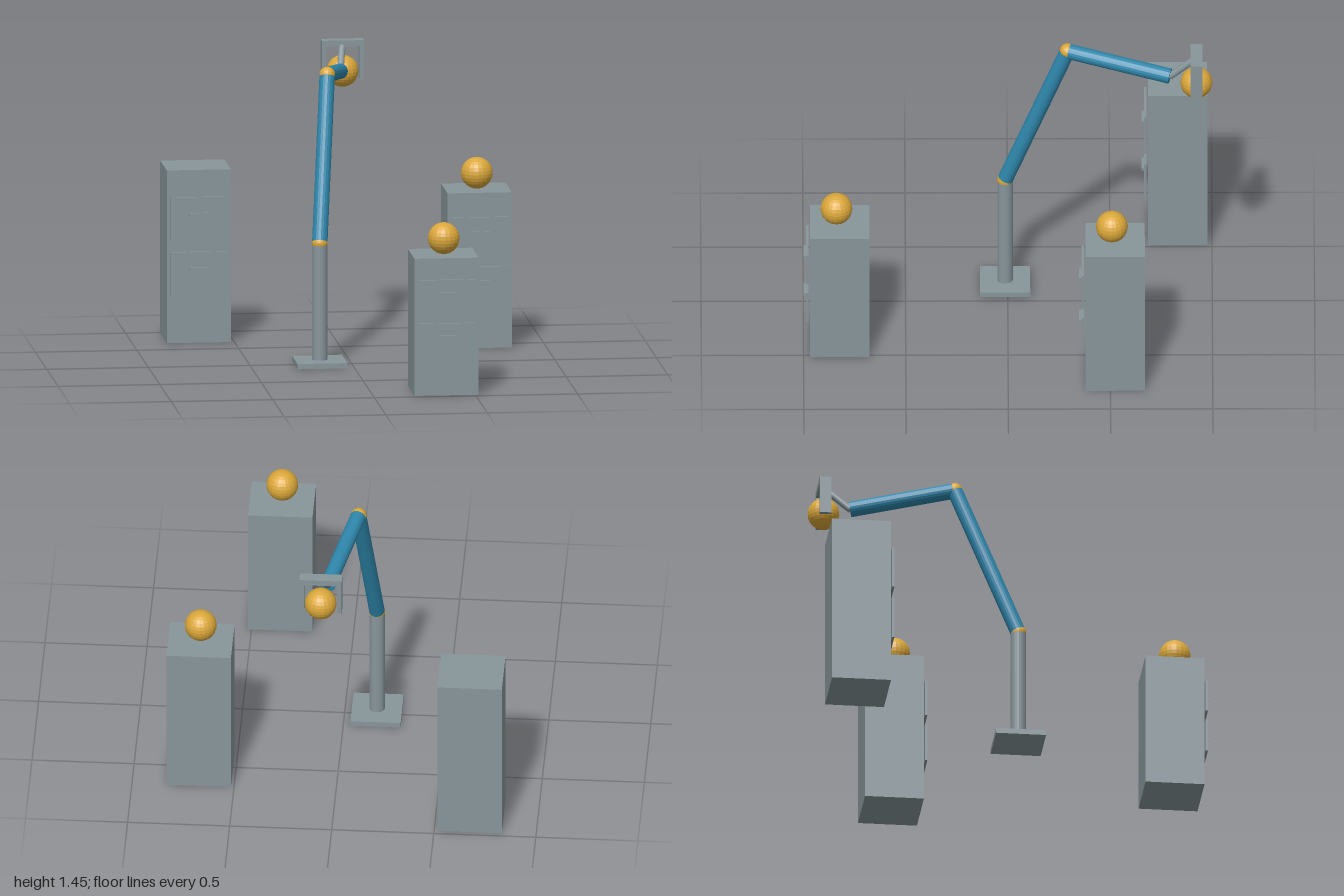
import * as THREE from 'three';

const flat = (name, color) => {
  const m = new THREE.MeshStandardMaterial({ color, flatShading: true });
  m.name = name;
  return m;
};

export function createModel() {
  const grey = flat('steel grey', 0x87959a);
  const blue = flat('arm blue', 0x2e86ab);
  const gold = flat('ball gold', 0xdaa73a);

  const root = new THREE.Group();
  root.name = 'robotArmAndCabinets';

  const add = (parent, name, geometry, material, x, y, z) => {
    const mesh = new THREE.Mesh(geometry, material);
    mesh.name = name;
    mesh.position.set(x, y, z);
    parent.add(mesh);
    return mesh;
  };
  const box = (parent, name, w, h, d, x, y, z) =>
    add(parent, name, new THREE.BoxGeometry(w, h, d), grey, x, y, z);
  const ball = (parent, name, r, p) =>
    add(parent, name, new THREE.SphereGeometry(r, 20, 14), gold, p.x, p.y, p.z);
  // cylinder running between two points
  const rod = (parent, name, r, a, b, material) => {
    const dir = b.clone().sub(a);
    const mid = a.clone().add(b).multiplyScalar(0.5);
    const mesh = add(parent, name, new THREE.CylinderGeometry(r, r, dir.length(), 20), material, mid.x, mid.y, mid.z);
    mesh.quaternion.setFromUnitVectors(new THREE.Vector3(0, 1, 0), dir.normalize());
    return mesh;
  };

  // two-drawer cabinets; the origin of each is the floor under its centre
  const cabinet = (name, x, z, h, hasBall) => {
    const g = new THREE.Group();
    g.name = name;
    g.position.set(x, 0, z);
    box(g, 'cabinetBody', 0.316, h, 0.29, 0, h / 2, 0);
    for (const f of [0.722, 0.405]) {
      box(g, 'drawerFront', 0.28, h * 0.247, 0.012, 0, h * f, 0.158);
      box(g, 'drawerHandle', 0.096, 0.014, 0.012, 0, h * (f + 0.025), 0.17);
    }
    if (hasBall) ball(g, 'ball', 0.078, new THREE.Vector3(0, h + 0.078, 0.016));
    root.add(g);
  };
  cabinet('frontCabinet', 0.359, 0.823, 0.68, true);
  cabinet('leftCabinet', 0.673, -0.523, 0.77, true);
  cabinet('rightCabinet', -0.674, -0.832, 0.857, false);

  // arm joints
  const arm = new THREE.Group();
  arm.name = 'robotArm';
  root.add(arm);
  const foot = new THREE.Vector3(-0.158, 0.02, 0.013);
  const shoulder = new THREE.Vector3(-0.158, 0.602, 0.013);
  const elbow = new THREE.Vector3(-0.087, 1.385, -0.292);
  const wrist = new THREE.Vector3(0.033, 1.315, -0.793);
  const grip = new THREE.Vector3(0.058, 1.435, -0.922);

  box(arm, 'basePlate', 0.246, 0.026, 0.246, foot.x, 0.013, foot.z);
  rod(arm, 'column', 0.038, foot, shoulder, grey);
  ball(arm, 'shoulderJoint', 0.039, shoulder);
  rod(arm, 'upperArm', 0.038, shoulder, elbow, blue);
  ball(arm, 'elbowJoint', 0.039, elbow);
  rod(arm, 'forearm', 0.038, elbow, wrist, blue);
  rod(arm, 'wristRod', 0.017, wrist, grip, grey);

  // gripper: crossbar with a finger at each end, holding a ball
  box(arm, 'gripperBar', 0.208, 0.03, 0.058, grip.x, grip.y, grip.z);
  for (const s of [-1, 1]) {
    box(arm, 'gripperFinger', 0.022, 0.164, 0.058, grip.x + s * 0.093, 1.34, grip.z);
  }
  ball(arm, 'heldBall', 0.078, new THREE.Vector3(0.059, 1.295, -0.922));

  return root;
}
